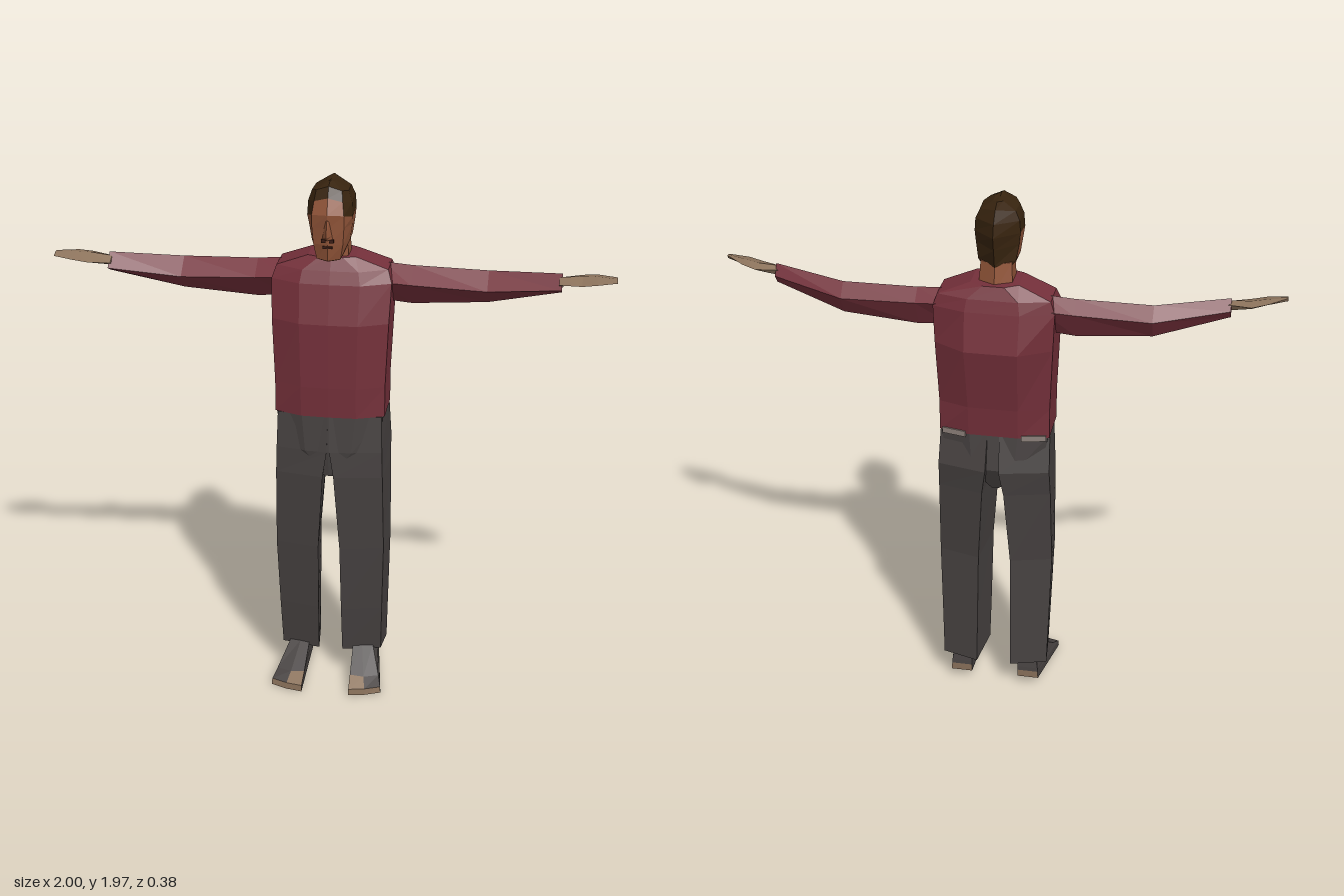
import * as THREE from 'three';

const mat = (name, color) => {
  const m = new THREE.MeshStandardMaterial({ color, flatShading: true });
  m.name = name;
  return m;
};

// Skin a list of rings (each running counterclockwise around the advance direction), capped at both ends.
// pick(row, side) gives the material index of each quad.
function loft(name, rings, mats, pick = () => 0) {
  const list = Array.isArray(mats) ? mats : [mats];
  const buckets = list.map(() => []);
  const n = rings[0].length;
  for (let i = 0; i < rings.length - 1; i++) {
    for (let j = 0; j < n; j++) {
      const k = (j + 1) % n;
      const a = rings[i][j], b = rings[i][k], c = rings[i + 1][k], d = rings[i + 1][j];
      buckets[pick(i, j)].push(...a, ...b, ...c, ...a, ...c, ...d);
    }
  }
  const cap = (ring, flip, m) => {
    const mid = [0, 1, 2].map(q => ring.reduce((s, p) => s + p[q], 0) / n);
    ring.forEach((p, j) => {
      const r = ring[(j + 1) % n];
      buckets[m].push(...mid, ...(flip ? r : p), ...(flip ? p : r));
    });
  };
  cap(rings[0], true, 0);
  cap(rings[rings.length - 1], false, 0);
  const g = new THREE.BufferGeometry();
  g.setAttribute('position', new THREE.Float32BufferAttribute(buckets.flat(), 3));
  let start = 0;
  buckets.forEach((b, m) => {
    g.addGroup(start, b.length / 3, m);
    start += b.length / 3;
  });
  g.computeVertexNormals();
  const mesh = new THREE.Mesh(g, list);
  mesh.name = name;
  return mesh;
}

// Complete a half outline (front to back on +x) with its mirror image
const whole = half => half.concat(
  half.filter(p => p[0] !== 0).reverse().map(([x, y, z]) => [-x, y, z]));

// Mirror rings to the -x side; the reversed order keeps faces outward for upward lofts
const sided = (rings, s) => s > 0 ? rings
  : rings.map(r => r.map(([x, y, z]) => [-x, y, z]).reverse());

// Body section: half width, front, front corner, back corner, back
const bodyRing = ([y, w, f, fc, bc, b]) => whole([
  [0, y, f], [w * 0.5, y, f - 0.003], [w, y, fc], [w, y, bc], [w * 0.45, y, b]]);

export function createModel() {
  const shirt = mat('red shirt', 0x74303a);
  const trousers = mat('charcoal cloth', 0x464140);
  const skin = mat('face skin', 0x905438);
  const tan = mat('tan skin', 0x8c735c);
  const hair = mat('brown hair', 0x38240f);
  const lip = mat('dark features', 0x3a1c14);
  const pale = mat('pale hem', 0x8d817a);
  const model = new THREE.Group();
  model.name = 'standingMan';

  // Torso
  model.add(loft('torso', [
    [1.105, 0.2, 0.095, 0.055, -0.11, -0.135],
    [1.22, 0.2, 0.1, 0.055, -0.11, -0.145],
    [1.46, 0.21, 0.1, 0.05, -0.125, -0.19],
    [1.6, 0.215, 0.068, 0.02, -0.125, -0.16],
    [1.645, 0.2, 0.05, 0.0, -0.12, -0.148],
    [1.69, 0.085, 0.03, 0.01, -0.1, -0.13],
  ].map(bodyRing), shirt));

  // Pelvis with the crotch point
  model.add(loft('pelvis', [
    [0.87, 0.03, 0.09, 0.08, -0.08, -0.1],
    [0.97, 0.17, 0.102, 0.06, -0.11, -0.15],
    [1.108, 0.196, 0.092, 0.052, -0.107, -0.132],
  ].map(bodyRing), trousers));

  // Thin pale patches where the shirt meets the trousers
  for (const [x, z, w, turn] of [[0.145, -0.125, 0.09, 0.22], [-0.145, -0.125, 0.09, -0.22]]) {
    const patch = new THREE.Mesh(new THREE.BoxGeometry(w, 0.022, 0.008), pale);
    patch.position.set(x, 1.105, z);
    patch.rotation.y = -turn;
    patch.name = 'hemPatch';
    model.add(patch);
  }

  // Leg section: height, inner x, outer x, front, back
  const legRing = ([y, i, o, f, b]) => [
    [i, y, f], [o - 0.01, y, f - 0.03], [o, y, b + 0.04], [i + 0.02, y, b]];
  const legs = [
    [0.11, 0.045, 0.2, 0.035, -0.14],
    [0.3, 0.043, 0.205, 0.06, -0.13],
    [0.57, 0.04, 0.212, 0.085, -0.12],
    [0.87, 0.02, 0.207, 0.107, -0.15],
    [0.97, 0.005, 0.204, 0.106, -0.168],
    [1.105, 0.002, 0.2, 0.094, -0.135],
  ].map(legRing);

  // Shoe: sole, toe edge, toe top, ankle
  const foot = [
    [[0.09, 0, 0.19], [0.15, 0, 0.178], [0.21, 0.005, 0.16], [0.17, 0.035, -0.11], [0.09, 0.035, -0.11]],
    [[0.09, 0.025, 0.188], [0.15, 0.025, 0.176], [0.208, 0.028, 0.157], [0.168, 0.065, -0.112], [0.09, 0.065, -0.112]],
    [[0.088, 0.055, 0.13], [0.14, 0.05, 0.13], [0.195, 0.05, 0.11], [0.167, 0.08, -0.11], [0.09, 0.08, -0.11]],
    [[0.085, 0.125, 0.025], [0.12, 0.125, 0.02], [0.16, 0.125, 0.01], [0.16, 0.135, -0.1], [0.09, 0.135, -0.1]],
  ];
  const isTan = (i, j) => (i === 0 && (j < 2 || j === 3)) || (i === 1 && j === 0);

  // Arm section: x, top, ridge, bottom, back z, front z (runs top, front, bottom, back)
  const armRing = ([x, t, m, b, zb, zf]) => [
    [x, t, zb + (zf - zb) * 0.4], [x, m, zf], [x, b, (zb + zf) / 2 - 0.01], [x, m + 0.01, zb]];
  const arms = [
    [0.17, 1.65, 1.6, 1.51, -0.13, 0.01],
    [0.28, 1.642, 1.59, 1.5, -0.12, 0.0],
    [0.55, 1.638, 1.58, 1.52, -0.11, 0.0],
    [0.81, 1.66, 1.61, 1.59, -0.032, 0.032],
  ].map(armRing);
  const hands = [
    [0.8, 1.648, 1.63, 1.612, -0.022, 0.035],
    [0.88, 1.655, 1.636, 1.625, -0.045, 0.055],
    [0.93, 1.66, 1.645, 1.638, -0.03, 0.062],
    [1.0, 1.662, 1.654, 1.65, 0.018, 0.055],
  ].map(armRing);

  for (const s of [1, -1]) {
    const side = s > 0 ? 'left' : 'right';
    // On the mirrored foot, side j becomes 3 - j, wrapping round
    const shoePick = (i, j) => isTan(i, s > 0 ? j : (8 - j) % 5) ? 1 : 0;
    model.add(
      loft(side + 'Leg', sided(legs, s), trousers),
      loft(side + 'Shoe', sided(foot, s), [trousers, tan], shoePick),
      loft(side + 'Sleeve', sided(arms, s), shirt),
      loft(side + 'Hand', sided(hands, s), tan));
  }

  // Neck
  const neckRing = (y, w, f, b) => whole([[0, y, f], [w, y, f - 0.03], [w, y, b + 0.03], [0, y, b]]);
  model.add(loft('neck', [
    neckRing(1.66, 0.06, 0.03, -0.115),
    neckRing(1.76, 0.055, 0.03, -0.1),
  ], skin));

  // Head, with hair over the crown, temples and back
  const head = [
    [[0, 1.7, 0.103], [0.042, 1.703, 0.085], [0.05, 1.715, 0.03], [0.05, 1.74, -0.06], [0, 1.735, -0.095]],
    [[0, 1.76, 0.112], [0.052, 1.76, 0.095], [0.068, 1.76, 0.03], [0.066, 1.76, -0.055], [0, 1.755, -0.105]],
    [[0, 1.82, 0.116], [0.056, 1.82, 0.1], [0.077, 1.82, 0.035], [0.076, 1.82, -0.045], [0, 1.82, -0.122]],
    [[0, 1.87, 0.122], [0.056, 1.865, 0.103], [0.08, 1.85, 0.05], [0.08, 1.86, -0.045], [0, 1.87, -0.136]],
    [[0, 1.925, 0.1], [0.05, 1.91, 0.088], [0.077, 1.9, 0.045], [0.077, 1.905, -0.045], [0, 1.915, -0.122]],
    [[0, 1.962, 0.08], [0.045, 1.945, 0.07], [0.064, 1.938, 0.035], [0.062, 1.938, -0.04], [0, 1.955, -0.09]],
    [[0, 1.974, 0.04], [0.012, 1.969, 0.035], [0.018, 1.967, 0.02], [0.018, 1.967, -0.03], [0, 1.972, -0.055]],
  ].map(whole);
  model.add(loft('head', head, [hair, skin], (i, j) => {
    const k = Math.min(j, 7 - j);
    return i >= 4 || (i === 3 && k > 0) || k === 3 ? 0 : 1;
  }));

  // Chin underside, closing the jaw in skin
  model.add(loft('chin', [
    head[0].map(([x, y, z]) => [x * 0.9, y - 0.003, z * 0.95]),
    head[0].map(([x, y, z]) => [x * 0.95, y + 0.012, z * 0.95]),
  ], skin));

  // Nose
  model.add(loft('nose', [
    whole([[0, 1.782, 0.13], [0.018, 1.782, 0.108], [0, 1.782, 0.1]]),
    whole([[0, 1.795, 0.146], [0.016, 1.795, 0.11], [0, 1.795, 0.1]]),
    whole([[0, 1.85, 0.123], [0.007, 1.85, 0.115], [0, 1.85, 0.1]]),
  ], skin));

  // Nostril shadow and mouth plates
  for (const [name, x, y, w, h, z] of [
    ['nostril', 0.014, 1.776, 0.016, 0.012, 0.112], ['nostril', -0.014, 1.776, 0.016, 0.012, 0.112],
    ['mouth', 0, 1.752, 0.034, 0.008, 0.109]]) {
    const plate = new THREE.Mesh(new THREE.BoxGeometry(w, h, 0.008), lip);
    plate.position.set(x, y, z);
    plate.name = name;
    model.add(plate);
  }
  return model;
}
